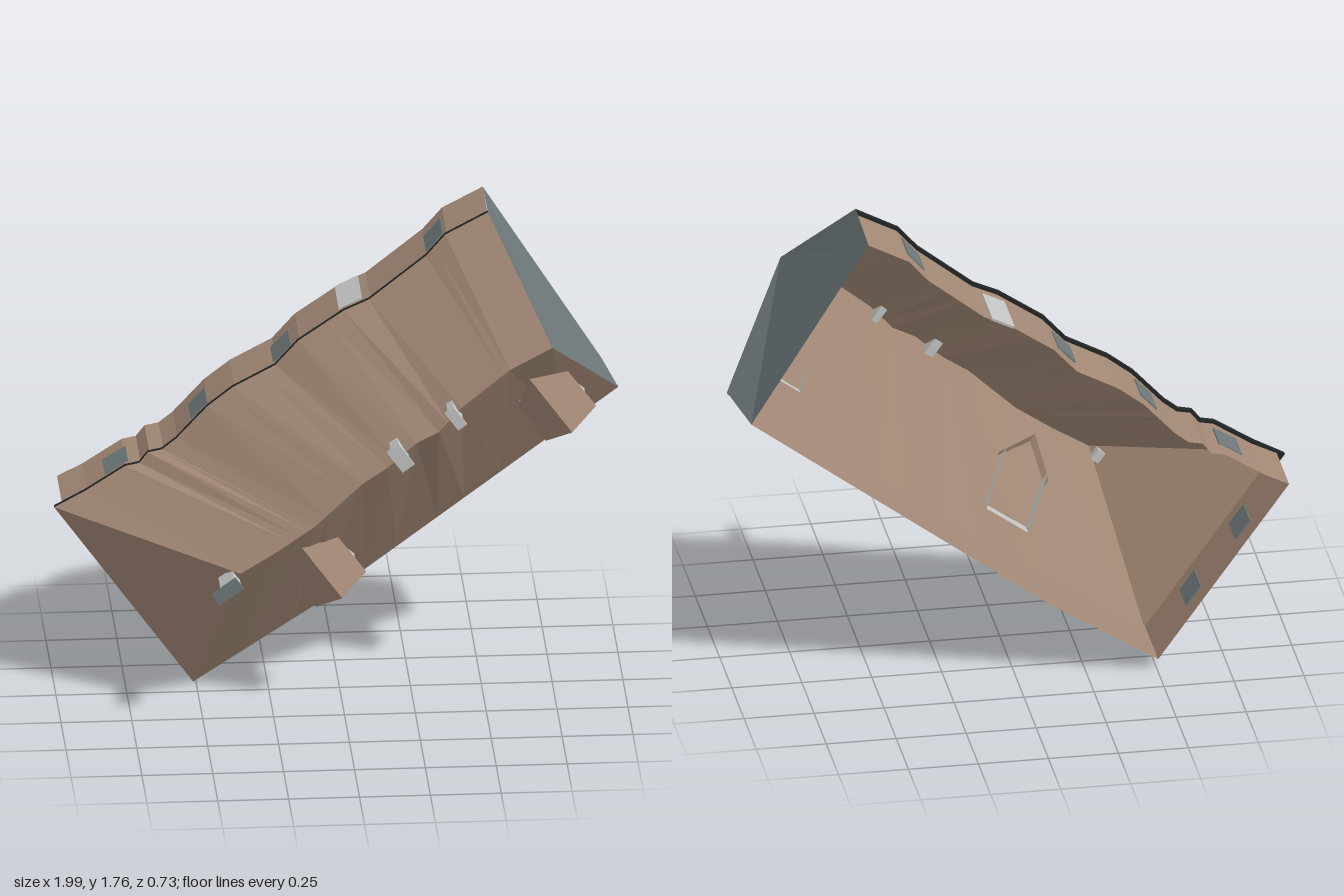
import * as THREE from 'three';

const mat = (name, color) => new THREE.MeshStandardMaterial({ name, color, side: THREE.DoubleSide, flatShading: true });

export function createModel() {
  const brown = mat('brown', 0xa28875);
  const slate = mat('slate', 0x6e787a);
  const light = mat('lightGrey', 0xc2c5c3);
  const dark = mat('darkTrim', 0x232626);

  // House frame: x along the ridge, y across it, z towards the ridge
  const house = new THREE.Group();
  house.name = 'house';
  const BASE = -0.36, EAVE = -0.09, RIM = -0.108, RIDGE = 0.3;

  const upperEave = [[-0.412, 1.137], [-0.287, 1.121], [-0.121, 1.112], [-0.075, 1.091], [-0.027, 1.105],
    [0.019, 1.084], [0.083, 1.087], [0.243, 1.12], [0.357, 1.124], [0.525, 1.101], [0.643, 1.127],
    [0.837, 1.122], [0.933, 1.102], [1.189, 1.114], [1.292, 1.138], [1.461, 1.115]];
  const lowerEave = [[-0.413, 0.299], [0.099, 0.274], [1.435, 0.295]];
  const ridge = [[0.034, 0.679], [0.187, 0.667], [0.345, 0.664], [0.576, 0.694], [0.684, 0.69],
    [0.818, 0.704], [0.906, 0.69], [1.024, 0.716], [1.243, 0.729], [1.412, 0.706]];

  // Height across the house of a wavy line at a given x
  const yAt = (line, x) => {
    let i = 0;
    while (i < line.length - 2 && line[i + 1][0] < x) i++;
    const [a, b] = [line[i], line[i + 1]];
    return a[1] + (b[1] - a[1]) * (x - a[0]) / (b[0] - a[0]);
  };
  const fractions = line => line.map(p => (p[0] - line[0][0]) / (line.at(-1)[0] - line[0][0]));
  const pointAt = (line, t, z) => {
    const x = line[0][0] + t * (line.at(-1)[0] - line[0][0]);
    return [x, yAt(line, x), z];
  };
  const lift = (line, z) => line.map(p => [p[0], p[1], z]);

  const surface = (name, material, points, parent = house) => {
    const g = new THREE.BufferGeometry();
    g.setAttribute('position', new THREE.Float32BufferAttribute(points.flat(), 3));
    g.computeVertexNormals();
    const m = new THREE.Mesh(g, material);
    m.name = name;
    parent.add(m);
    return m;
  };
  // Triangles between two lines with equal point counts
  const band = (a, b) => {
    const out = [];
    for (let i = 0; i < a.length - 1; i++) out.push(a[i], a[i + 1], b[i + 1], a[i], b[i + 1], b[i]);
    return out;
  };
  const fan = pts => pts.slice(2).flatMap((p, i) => [pts[0], pts[i + 1], p]);
  const box = (name, material, size, pos, parent = house) => {
    const m = new THREE.Mesh(new THREE.BoxGeometry(...size), material);
    m.name = name;
    m.position.set(...pos);
    parent.add(m);
    return m;
  };

  // Main roof slopes and hipped end
  const slope = (name, eave) => {
    const ts = [...new Set([...fractions(eave), ...fractions(ridge)])].sort((a, b) => a - b);
    const low = ts.map(t => pointAt(eave, t, EAVE)), high = ts.map(t => pointAt(ridge, t, RIDGE));
    surface(name, brown, eave === lowerEave ? band(low, high) : band(high, low));
  };
  slope('upperRoofSlope', upperEave);
  slope('lowerRoofSlope', lowerEave);
  surface('hipRoof', brown, [[...upperEave[0], EAVE], [...lowerEave[0], EAVE], [...ridge[0], RIDGE]]);

  // Walls, set in from the eaves
  const upperWall = upperEave.map(([x, y], i) => [i === 0 ? -0.385 : i === 15 ? 1.453 : x, y - 0.012]);
  const lowerWall = [[-0.385, 0.327], [0.099, 0.3], [1.402, 0.318]];
  const hipWall = [lowerWall[0], upperWall[0]];
  surface('upperWall', brown, band(lift(upperWall, EAVE), lift(upperWall, BASE)));
  surface('lowerWall', brown, band(lift(lowerWall, BASE), lift(lowerWall, EAVE)));
  surface('hipWall', brown, band(lift(hipWall, EAVE), lift(hipWall, BASE)));

  // Plain gable end
  const gTop = upperEave.at(-1), gLow = lowerEave.at(-1);
  surface('gableWall', slate, fan([[...ridge.at(-1), RIDGE], [...gTop, EAVE], [...upperWall.at(-1), BASE],
    [...lowerWall.at(-1), BASE], [...gLow, EAVE]]));

  // Dark soffits and rims under the eaves
  const trim = (name, eave, wall) => {
    surface(name + 'Rim', dark, band(lift(eave, EAVE), lift(eave, RIM)));
    surface(name + 'Soffit', dark, band(lift(eave, RIM), lift(wall, RIM)));
  };
  trim('upperEave', upperEave, upperWall);
  trim('lowerEave', lowerEave, lowerWall);
  trim('hipEave', [lowerEave[0], upperEave[0]], hipWall);

  // Openings in the upper wall: x, width, low z
  [[-0.16, 0.095, -0.28], [0.2, 0.085, -0.28], [0.56, 0.09, -0.28], [0.86, 0.09, -0.355], [1.235, 0.09, -0.28]]
    .forEach(([x, w, z0], i) => {
      const y0 = yAt(upperWall, x - w / 2), y1 = yAt(upperWall, x + w / 2);
      const isDoor = i === 3;
      const m = box(isDoor ? 'door' : 'window', isDoor ? light : slate, [w, 0.009, -0.15 - z0],
        [x, (y0 + y1) / 2, (z0 - 0.15) / 2]);
      m.rotation.z = Math.atan2(y1 - y0, w);
    });
  // Hip wall windows
  for (const y of [0.57, 0.87]) box('hipWindow', slate, [0.009, 0.09, 0.13], [-0.385, y, -0.215]);

  // Gabled dormers on the lower slope
  for (const [x, front] of [[0.252, 0.36], [1.266, 0.378]]) {
    const d = new THREE.Group();
    d.name = 'dormer';
    d.position.x = x;
    house.add(d);
    const wallY = front + 0.028, zLow = wallY - 0.415, zEave = 0.145, zTop = 0.237;
    for (const s of [-1, 1]) {
      surface('dormerRoof', brown, fan([[0, front, zTop], [s * 0.11, front - 0.004, zEave],
        [s * 0.108, 0.542, zEave], [0, 0.635, zTop]]), d);
      surface('dormerCheek', light, [[s * 0.092, wallY, zLow], [s * 0.092, wallY, 0.158],
        [s * 0.092, 0.565, 0.155]], d);
    }
    surface('dormerFront', light, fan([[-0.092, wallY, zLow], [0.092, wallY, zLow],
      [0.092, wallY, 0.158], [0, wallY, 0.232], [-0.092, wallY, 0.158]]), d);
  }

  // Capped chimneys along the ridge
  const chimney = (x, y, body, cap, capMat, shift) => {
    const c = new THREE.Group();
    c.name = 'chimney';
    c.position.set(x, y, 0);
    house.add(c);
    box('chimneyBody', light, [...body, 0.1], [shift, 0, 0.305], c);
    box('chimneyCap', capMat, [...cap, 0.012], [0, 0, 0.36], c);
  };
  chimney(-0.03, 0.675, [0.06, 0.045], [0.105, 0.05], slate, 0.015);
  chimney(0.752, 0.715, [0.035, 0.065], [0.052, 0.095], light, 0);
  chimney(0.995, 0.718, [0.025, 0.06], [0.038, 0.08], light, 0);

  // The whole house lies on its back, turned on the slant
  house.rotation.z = Math.atan2(0.586, 0.81);
  const model = new THREE.Group();
  model.name = 'tiltedHouse';
  model.add(house);
  return model;
}
